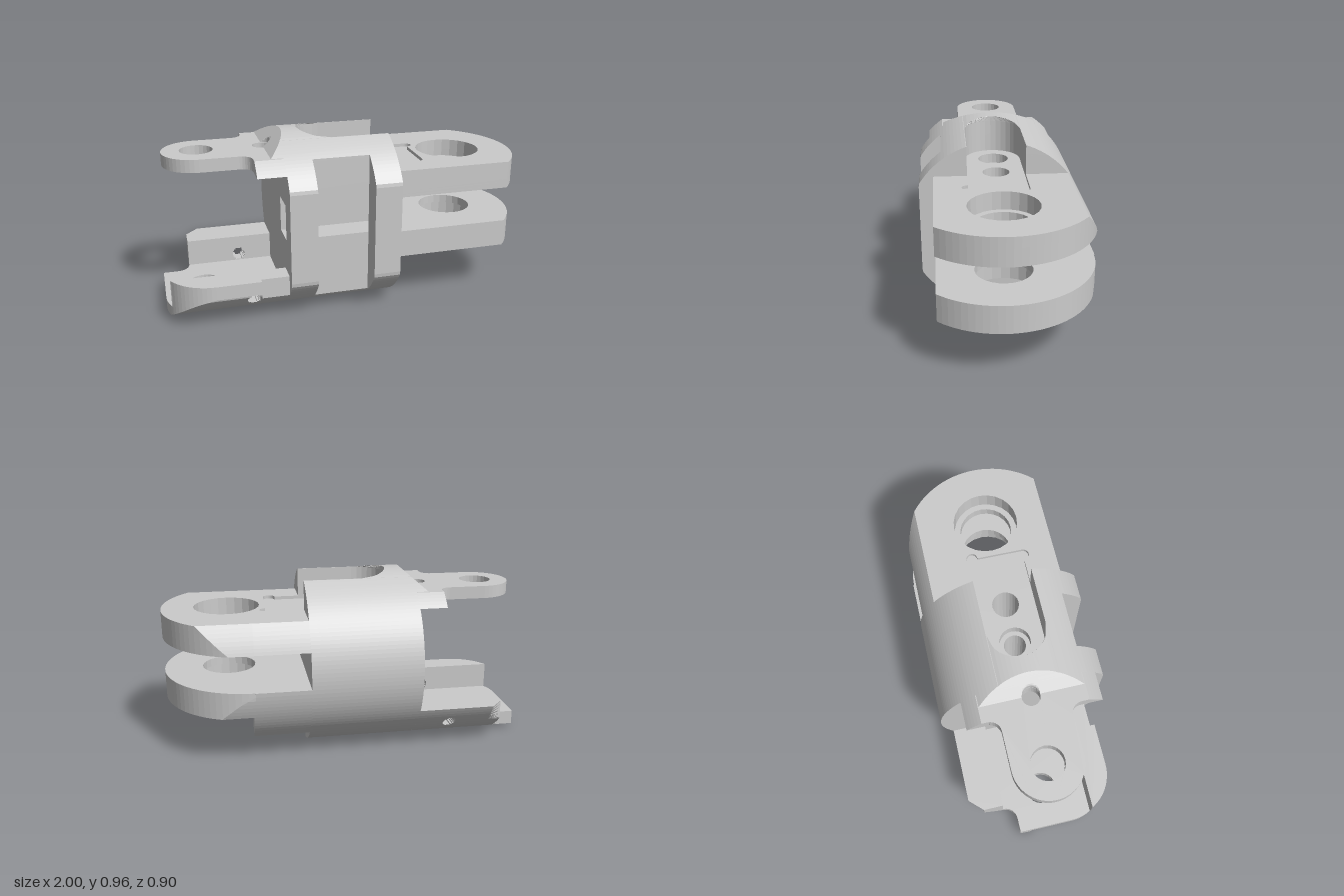
import * as THREE from 'three';

// Envelope: a cylinder lying along x
const YC = 0.4735, ZC = 0.0375, R = 0.4865;
const halfWidth = (y) => Math.sqrt(Math.max(0, R * R - (y - YC) ** 2));
const angle = (y) => Math.asin(THREE.MathUtils.clamp((y - YC) / R, -1, 1));
const material = new THREE.MeshStandardMaterial({ color: 0xcccccc, flatShading: true });

// Points of an arc in plan, angles in degrees from +x towards +z
function arc(x, z, r, from, to, n = 16) {
  return Array.from({ length: n + 1 }, (_, i) => {
    const a = THREE.MathUtils.degToRad(from + (to - from) * i / n);
    return [x + r * Math.cos(a), z + r * Math.sin(a)];
  });
}
const rect = (x0, x1, z0, z1) => [[x0, z0], [x1, z0], [x1, z1], [x0, z1]];
const hole = (x, r) => arc(x, 0.033, r, 0, 360, 24).slice(0, -1);
const keep = (x, y, z) => [x, z];

// Horizontal layer from y0 to y1 whose sides are trimmed to the cylinder
function slab(parent, name, y0, y1, outline, holes = [], warp = keep) {
  const loops = [outline, ...holes].map((loop, k) => {
    const clockwise = THREE.ShapeUtils.isClockWise(loop.map(([x, z]) => new THREE.Vector2(x, -z)));
    return clockwise === (k > 0) ? loop : [...loop].reverse();
  });
  const section = (y) => loops.map((loop) => loop.map(([px, pz]) => {
    const w = halfWidth(y);
    const [x, z] = warp(px, y, pz, w);
    return new THREE.Vector2(x, -THREE.MathUtils.clamp(z, ZC - w, ZC + w));
  }));
  const pos = [];
  const put = (p, y) => pos.push(p.x, y, -p.y);

  // Sides, in steps of equal angle round the cylinder
  const a0 = angle(y0), a1 = angle(y1);
  const steps = Math.max(1, Math.ceil((a1 - a0) / 0.05));
  const level = (s) => YC + R * Math.sin(a0 + (a1 - a0) * s / steps);
  for (let s = 0; s < steps; s++) {
    const yl = level(s), yh = level(s + 1);
    const low = section(yl), high = section(yh);
    low.forEach((loop, k) => loop.forEach((a, i) => {
      const j = (i + 1) % loop.length, b = loop[j], c = high[k][j], d = high[k][i];
      put(a, yl); put(b, yl); put(c, yh);
      put(a, yl); put(c, yh); put(d, yh);
    }));
  }
  // Top and bottom
  for (const [y, up] of [[level(0), false], [level(steps), true]]) {
    const [contour, ...inner] = section(y);
    const faces = THREE.ShapeUtils.triangulateShape(contour, inner);
    const pts = [contour, ...inner].flat();
    for (const face of faces) {
      const tri = face.map((i) => pts[i]);
      if ((THREE.ShapeUtils.area(tri) > 0) !== up) tri.reverse();
      tri.forEach((p) => put(p, y));
    }
  }
  const geo = new THREE.BufferGeometry();
  geo.setAttribute('position', new THREE.Float32BufferAttribute(pos, 3));
  geo.computeVertexNormals();
  const mesh = new THREE.Mesh(geo, material);
  mesh.name = name;
  parent.add(mesh);
}

export function createModel() {
  const g = new THREE.Group();
  g.name = 'hingeBody';
  const X0 = -0.365, X1 = 0.23;

  // Front edge of the body, with the recess between the two flanges
  const front = [[X1, 0.45], [0.085, 0.45], [0.085, 0.33], [-0.22, 0.33], [-0.22, 0.45], [X0, 0.45]];
  const bodyPlan = [[X0, -0.5], [X1, -0.5], ...front];
  const bores = [hole(-0.09, 0.06), hole(0.135, 0.073)];
  const wideBores = [hole(-0.09, 0.085), hole(0.135, 0.073)];

  // Keel rails either side of the bottom groove
  const trayNotch = [[-1, -0.14], [-0.92, -0.14], ...arc(-0.92, -0.21, 0.07, 90, 0, 6)];
  slab(g, 'frontKeelRail', 0, 0.04, rect(-0.515, -0.22, 0.15, 0.4));
  slab(g, 'frontKeelRail', 0, 0.04, rect(0.085, X1, 0.15, 0.4));
  slab(g, 'backKeelRail', 0, 0.04,
    [[X1, -0.075], [-1, -0.075], ...trayNotch, [-0.85, -0.5], [X1, -0.5]]);

  // Main body with a side window
  slab(g, 'lowerBody', 0.04, 0.43, bodyPlan, bores);
  slab(g, 'bodyCore', 0.43, 0.625, rect(X0, X1, -0.5, 0.18), bores);
  slab(g, 'frontFlange', 0.43, 0.625, rect(X0, -0.22, 0.33, 0.45));
  slab(g, 'frontFlange', 0.43, 0.625, rect(0.085, X1, 0.33, 0.45));
  slab(g, 'upperBody', 0.625, 0.7, bodyPlan, bores);
  slab(g, 'upperBody', 0.7, 0.755, bodyPlan, wideBores);

  // Top of the body around the round-ended pocket, its end sloping to the tab
  const PR = 0.1565, PX = -0.085, EYE_X = -0.435, EYE_R = 0.048;
  const pocketEnd = arc(PX, ZC, PR, 270, 90);
  const slope = (y) => -0.33 - (0.96 - y) * 1.18;
  const eyeEdge = arc(0, 0.033, EYE_R, 90, -90).map(([, z]) => [X0, z]);
  const pocketPlan = [[X0, -0.5], [X1, -0.5], [X1, ZC - PR], ...pocketEnd, [X1, ZC + PR], ...front];
  slab(g, 'pocketWalls', 0.755, 0.875, pocketPlan);
  slab(g, 'pocketWalls', 0.875, 0.933, [...pocketPlan, ...eyeEdge], [], (x, y, z) => {
    if (x > X0) return [x, z];
    const d = EYE_R ** 2 - (z - 0.033) ** 2;
    return [d >= 0 ? Math.max(slope(y), EYE_X + Math.sqrt(d)) : slope(y), z];
  });
  // Crown: narrows with the cylinder and keeps the pocket's round end
  slab(g, 'crown', 0.933, 0.96, [[X0, ZC - PR], ...pocketEnd, [X0, ZC + PR]], [], (x, y, z, w) => {
    const dz = (z - ZC) / PR * Math.min(w, PR);
    return [x <= X0 ? slope(y) : PX - Math.sqrt(Math.max(0, PR * PR - dz * dz)), ZC + dz];
  });

  // Fork prongs with counterbored pin holes
  const NOSE_X = 0.52, NOSE_R = 0.48;
  const round = arc(NOSE_X, ZC, NOSE_R, -90, 43.8, 32);
  const prongBack = [[X1, -0.5], [NOSE_X, -0.5], ...round];
  const prong = [[X1, 0.372], ...prongBack];
  const pocketedProng = [[X1, 0.372], [X1, ZC + PR], [0.365, ZC + PR],
    ...arc(0.4, ZC + PR, 0.033, 180, 0, 8), [0.436, -0.055],
    ...arc(0.44, -0.089, 0.03, 90, -90, 8), [X1, ZC - PR], ...prongBack];
  const trimNose = (x, y, z, w) => (x > NOSE_X && z < ZC - w
    ? [NOSE_X + Math.sqrt(Math.max(0, NOSE_R ** 2 - w * w)), z] : [x, z]);
  const pin = [hole(0.645, 0.147)], bore = [hole(0.645, 0.18)];
  slab(g, 'lowerProng', 0.282, 0.385, prong, bore, trimNose);
  slab(g, 'lowerProng', 0.385, 0.43, prong, pin, trimNose);
  slab(g, 'upperProng', 0.625, 0.675, prong, pin, trimNose);
  slab(g, 'upperProng', 0.675, 0.755, prong, bore, trimNose);
  slab(g, 'upperProng', 0.755, 0.773, pocketedProng, bore, trimNose);
  slab(g, 'prongSupport', 0.13, 0.282,
    [[X1, -0.5], [0.53, -0.5], [0.53, -0.21], [0.31, -0.21], [0.25, -0.175], [X1, -0.15]]);

  // Lower tray: floor and two side walls pierced by a cross pin
  const CX = -0.75, CZ = 0.167, CR = 0.25;
  const corner = arc(CX, CZ, CR, 90, 180);
  const trimCorner = (x, y, z, w) => (x < CX && z > ZC + w
    ? [CX - Math.sqrt(CR ** 2 - (ZC + w - CZ) ** 2), z] : [x, z]);
  const frontStep = [[X0, 0.39], [-0.515, 0.39], [-0.515, CZ + CR]];
  const backOuter = [[-0.85, -0.32], [-0.78, -0.4], [-0.78, -0.5]];
  slab(g, 'trayFloor', 0.04, 0.1, [...frontStep, ...corner, ...trayNotch, ...backOuter, [X0, -0.5]],
    [hole(-0.78, 0.088)], trimCorner);

  const frontOuter = [...corner.filter(([, z]) => z > 0.28), [-0.975, 0.28]];
  const PIN_X = -0.555, PIN_Y = 0.14, PIN_R = 0.035, N = 8;
  for (let i = 0; i < N; i++) {
    const y0 = PIN_Y - PIN_R + 2 * PIN_R * i / N, y1 = y0 + 2 * PIN_R / N;
    const h = Math.sqrt(PIN_R ** 2 - ((y0 + y1) / 2 - PIN_Y) ** 2);
    const l = PIN_X - h, r = PIN_X + h;
    slab(g, 'frontTrayWall', y0, y1, [[l, 0.28], [l, CZ + CR], ...frontOuter], [], trimCorner);
    slab(g, 'frontTrayWall', y0, y1, [[r, 0.28], [X0, 0.28], ...frontStep, [r, CZ + CR]]);
    slab(g, 'backTrayWall', y0, y1, [[l, -0.5], [l, -0.21], [-0.85, -0.21], ...backOuter]);
    slab(g, 'backTrayWall', y0, y1, rect(r, X0, -0.5, -0.21));
  }
  for (const [y0, y1] of [[0.1, PIN_Y - PIN_R], [PIN_Y + PIN_R, 0.25]]) {
    slab(g, 'frontTrayWall', y0, y1, [[X0, 0.28], ...frontStep, ...frontOuter], [], trimCorner);
    slab(g, 'backTrayWall', y0, y1, [[X0, -0.5], [X0, -0.21], [-0.85, -0.21], ...backOuter]);
  }

  // Upper tab with an eyelet, flaring into the body
  slab(g, 'upperTab', 0.803, 0.872, [[X0, -0.5], [-0.515, -0.5], [-0.515, -0.2],
    ...arc(-0.575, -0.21, 0.06, 10, 90, 6), ...arc(-0.78, 0.033, 0.183, 270, 90, 24),
    ...arc(-0.575, 0.276, 0.06, 270, 350, 6), [-0.515, 0.28], [-0.515, 0.5], [X0, 0.5]],
  [hole(-0.78, 0.088), hole(EYE_X, EYE_R)]);

  return g;
}
